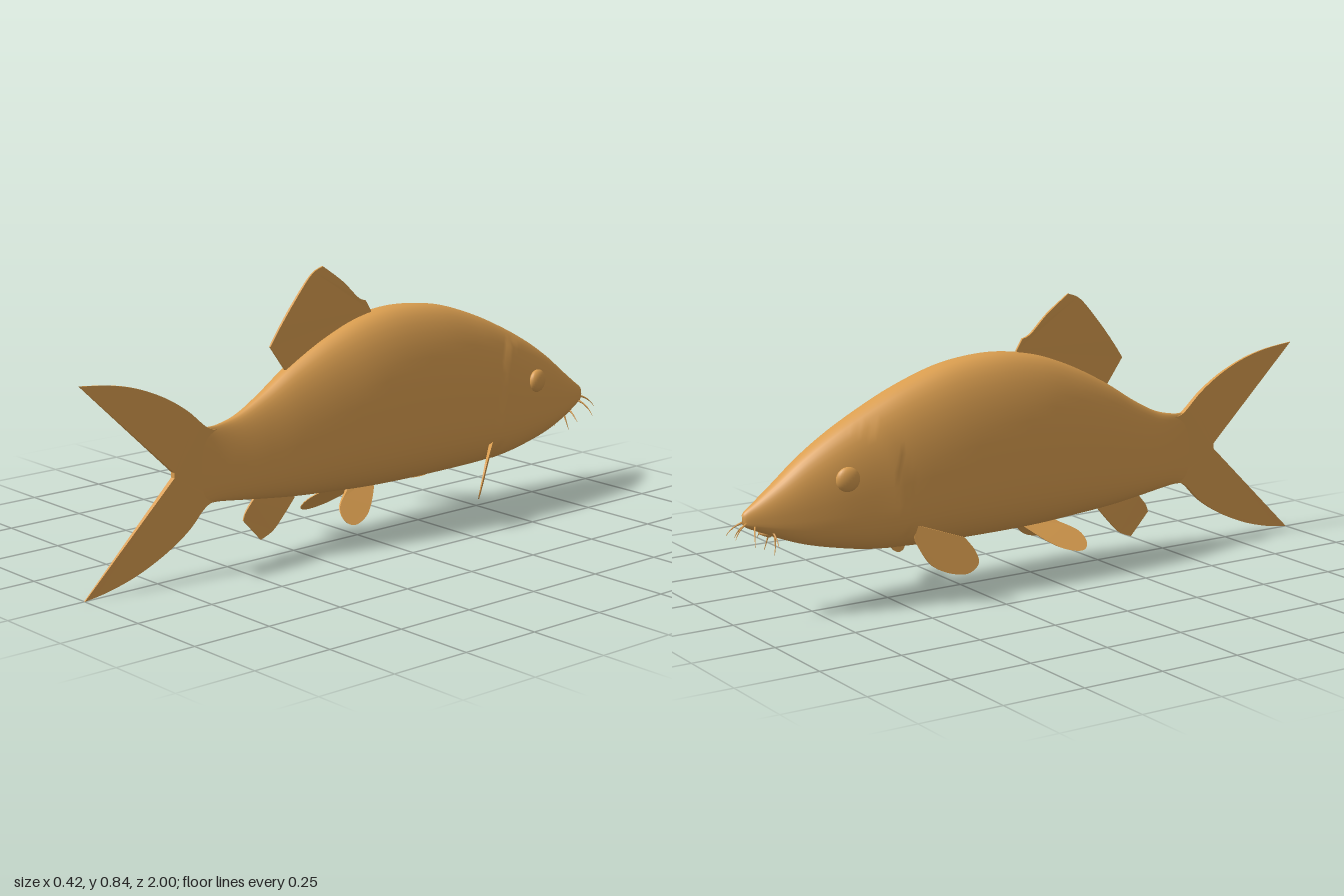
import * as THREE from 'three';

const scales = new THREE.MeshStandardMaterial({ color: 0xd99d4f });
scales.name = 'golden brown';

// Body stations from snout to tail root: z, top y, bottom y, half width
const STATIONS = [
  [-0.965, 0.312, 0.298, 0.003], [-0.955, 0.325, 0.28, 0.015], [-0.92, 0.35, 0.263, 0.03],
  [-0.86, 0.395, 0.237, 0.05], [-0.78, 0.457, 0.208, 0.071], [-0.69, 0.515, 0.186, 0.089],
  [-0.58, 0.574, 0.167, 0.104], [-0.45, 0.632, 0.159, 0.119], [-0.3, 0.678, 0.157, 0.127],
  [-0.14, 0.693, 0.157, 0.127], [0, 0.675, 0.16, 0.12], [0.13, 0.63, 0.167, 0.103],
  [0.26, 0.565, 0.175, 0.08], [0.37, 0.497, 0.186, 0.056], [0.46, 0.45, 0.197, 0.035],
  [0.53, 0.432, 0.205, 0.019], [0.58, 0.428, 0.207, 0.01], [0.63, 0.41, 0.23, 0.003],
];

function add(group, name, geometry) {
  const mesh = new THREE.Mesh(geometry, scales);
  mesh.name = name;
  group.add(mesh);
  return mesh;
}

// Egg-shaped rings lofted along the stations, with a raised gill cover edge
function bodyGeometry(rings = 150, sides = 44) {
  const spline = (f) => new THREE.CatmullRomCurve3(STATIONS.map(f), false, 'catmullrom', 0.5);
  const outline = spline(([z, top, bottom]) => new THREE.Vector3(z, top, bottom));
  const width = spline(([, , , w]) => new THREE.Vector3(w, 0, 0));
  const pos = [], index = [];
  for (let i = 0; i <= rings; i++) {
    const { x: z, y: top, z: bottom } = outline.getPoint(i / rings);
    const w = width.getPoint(i / rings).x;
    const mid = bottom + (top - bottom) * 0.32;
    for (let j = 0; j < sides; j++) {
      const a = (j / sides) * Math.PI * 2, c = Math.cos(a), s = Math.sin(a);
      const p = 2 / (s > 0 ? 2.35 : 2.7);
      const y = mid + Math.sign(s) * Math.abs(s) ** p * (s > 0 ? top - mid : mid - bottom);
      let x = w * Math.sign(c) * Math.abs(c) ** p;
      const ahead = -0.49 - (y - 0.27) ** 2 - z;
      if (ahead > 0 && y < 0.53) x += Math.sign(c) * Math.min(1, Math.abs(c) * 2) * 0.006 * Math.exp(-ahead / 0.07);
      pos.push(x, y, z);
      if (i < rings) {
        const k = (j + 1) % sides, r = i * sides, n = r + sides;
        index.push(r + j, r + k, n + j, r + k, n + k, n + j);
      }
    }
  }
  const g = new THREE.BufferGeometry();
  g.setAttribute('position', new THREE.Float32BufferAttribute(pos, 3));
  g.setIndex(index);
  g.computeVertexNormals();
  return g;
}

// Thin fin from (z, y) runs: each run is a smooth curve, with corners between runs.
// It thins away from its root; lean(z, y) gives the sideways offset.
function finGeometry(runs, root, reach, thickness, lean = () => 0) {
  const shape = new THREE.Shape();
  runs.forEach((run, i) => {
    const pts = run.map(([z, y]) => new THREE.Vector2(z, y));
    if (i === 0) shape.moveTo(pts[0].x, pts[0].y), pts.shift();
    if (pts.length === 1) shape.lineTo(pts[0].x, pts[0].y);
    else if (pts.length) shape.splineThru(pts);
  });
  const g = new THREE.ExtrudeGeometry(shape, { depth: thickness, bevelEnabled: false, curveSegments: 6 });
  g.translate(0, 0, -thickness / 2).rotateY(-Math.PI / 2);
  const p = g.attributes.position;
  for (let i = 0; i < p.count; i++) {
    const y = p.getY(i), z = p.getZ(i);
    const thin = Math.max(0.2, 1 - Math.hypot(z - root[0], y - root[1]) / reach);
    p.setX(i, p.getX(i) * thin + lean(z, y));
  }
  g.computeVertexNormals();
  return g;
}

export function createModel() {
  const fish = new THREE.Group();
  fish.name = 'fish';
  add(fish, 'body', bodyGeometry());

  // Fins on the centre line
  add(fish, 'tailFin', finGeometry([
    [[0.53, 0.42], [0.57, 0.43], [0.64, 0.49], [0.72, 0.54], [0.81, 0.578], [0.9, 0.6], [1, 0.612]],
    [[0.69, 0.318]], [[0.69, 0.302]], [[1, 0.003]],
    [[0.92, 0.015], [0.82, 0.043], [0.72, 0.088], [0.64, 0.14], [0.58, 0.198], [0.53, 0.215]],
  ], [0.56, 0.31], 0.6, 0.02));
  add(fish, 'dorsalFin', finGeometry([
    [[-0.05, 0.6]], [[-0.05, 0.69]], [[-0.03, 0.722]], [[0, 0.735], [0.06, 0.79], [0.135, 0.843]],
    [[0.18, 0.822], [0.245, 0.75], [0.3, 0.68], [0.335, 0.63]], [[0.28, 0.555]], [[0.22, 0.52]],
  ], [0.12, 0.62], 0.32, 0.018));
  add(fish, 'analFin', finGeometry([
    [[0.24, 0.22]], [[0.25, 0.165]], [[0.29, 0.12], [0.33, 0.08], [0.375, 0.06]],
    [[0.44, 0.13]], [[0.43, 0.155], [0.4, 0.19]], [[0.38, 0.24]],
  ], [0.32, 0.19], 0.18, 0.014));

  for (const [side, label] of [[1, 'left'], [-1, 'right']]) {
    // Paired fins
    add(fish, label + 'PectoralFin', finGeometry([
      [[-0.465, 0.235]], [[-0.465, 0.2]],
      [[-0.43, 0.13], [-0.405, 0.103], [-0.37, 0.089], [-0.335, 0.092], [-0.316, 0.125], [-0.328, 0.165], [-0.355, 0.205]],
      [[-0.46, 0.237]],
    ], [-0.46, 0.22], 0.22, 0.016, (z, y) => side * (0.105 + 0.89 * (z + 0.43) + 0.25 * (y - 0.13))));
    add(fish, label + 'PelvicFin', finGeometry([
      [[-0.04, 0.175]], [[-0.04, 0.155]],
      [[0.01, 0.115], [0.055, 0.09], [0.11, 0.079], [0.138, 0.095], [0.13, 0.128], [0.075, 0.16]],
      [[0.05, 0.18]],
    ], [0, 0.165], 0.2, 0.014, (z, y) => side * (0.035 + (0.155 - y) * 0.95 + 0.1 * (z - 0.05))));

    // Domed eye
    const eye = add(fish, label + 'Eye', new THREE.SphereGeometry(0.036, 24, 16));
    eye.scale.x = 0.5;
    eye.position.set(side * 0.089, 0.397, -0.675);
    eye.rotation.y = side * 0.15;

    // Barbels: root, bend and tip
    const barbels = [
      [[0.008, 0.295, -0.945], [0.02, 0.285, -0.985], [0.03, 0.255, -1.0]],
      [[0.012, 0.285, -0.93], [0.045, 0.275, -0.95], [0.065, 0.235, -0.957]],
      [[0.016, 0.265, -0.885], [0.045, 0.258, -0.882], [0.067, 0.225, -0.885]],
      [[0.01, 0.262, -0.875], [0.025, 0.235, -0.87], [0.032, 0.195, -0.882]],
    ];
    barbels.forEach((points, n) => {
      const path = new THREE.QuadraticBezierCurve3(...points.map(([x, y, z]) => new THREE.Vector3(side * x, y, z)));
      const g = new THREE.TubeGeometry(path, 8, 0.004, 6);
      // Narrow the tube toward its tip
      const p = g.attributes.position, v = new THREE.Vector3();
      for (let i = 0; i < p.count; i++) {
        const t = Math.floor(i / 7) / 8, c = path.getPointAt(t);
        v.fromBufferAttribute(p, i).sub(c).multiplyScalar(1 - 0.85 * t).add(c);
        p.setXYZ(i, v.x, v.y, v.z);
      }
      add(fish, label + 'Barbel' + (n + 1), g);
    });
  }

  // Lips under the snout
  const lips = add(fish, 'lips', new THREE.TorusGeometry(0.014, 0.006, 10, 20));
  lips.position.set(0, 0.252, -0.895);
  lips.rotation.x = Math.PI / 2 + 0.4;
  return fish;
}
